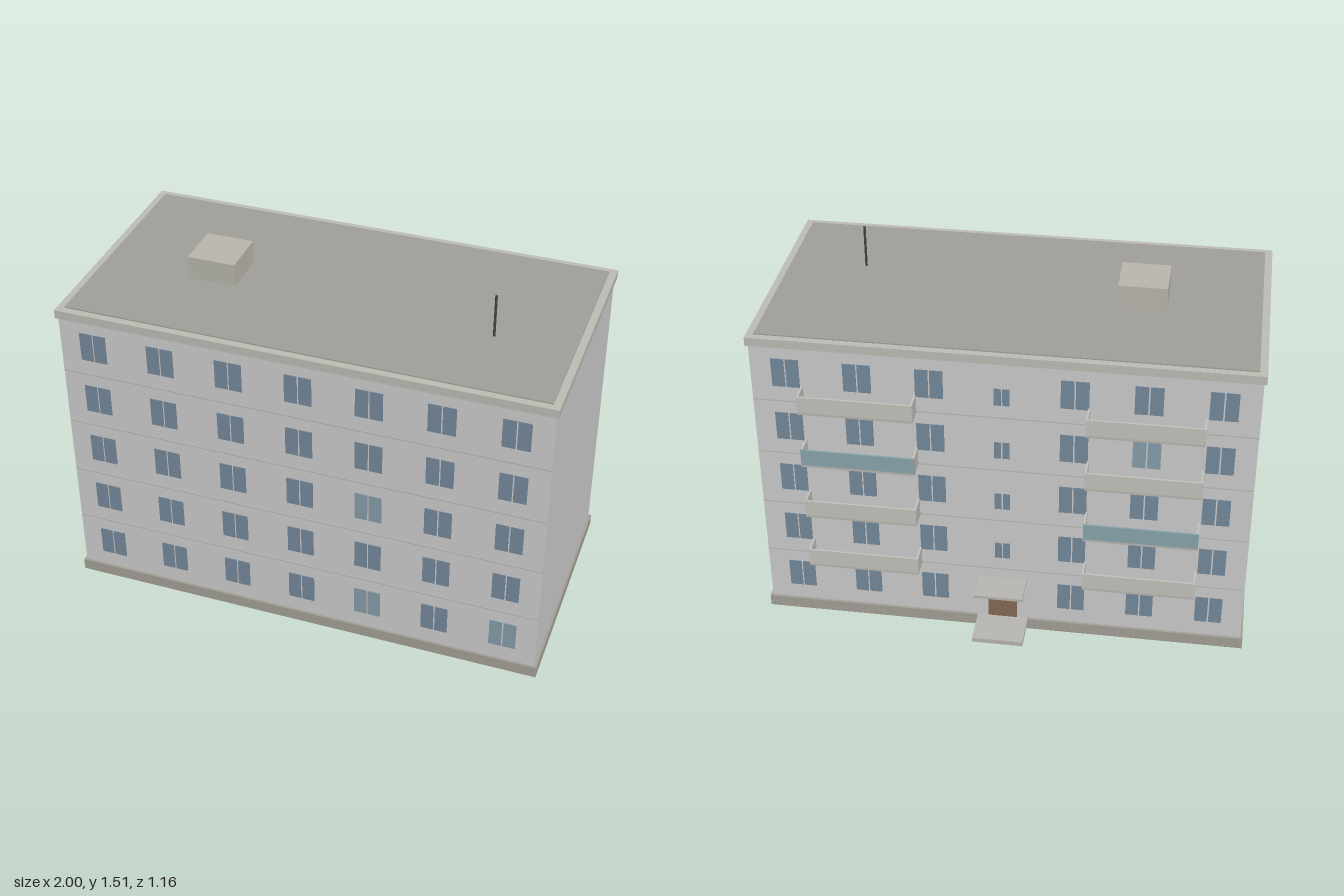
import * as THREE from 'three';

const mat = (color) => new THREE.MeshStandardMaterial({ color });
const M = {
  wall: mat(0xcccccc), base: mat(0xa3a097), cornice: mat(0xbdbcb4), roof: mat(0xa09f98),
  hut: mat(0xb8b6ac), glass: mat(0x74889a), paleGlass: mat(0x869daa), seam: mat(0xb8b8b6),
  rail: mat(0xc3c2bc), blueRail: mat(0x8aa5ad), slab: mat(0xb8b6b0), door: mat(0x846a55),
  mast: mat(0x444444),
};

// Box given by its min and max on each axis
function box(parent, name, material, [x0, x1], [y0, y1], [z0, z1]) {
  const mesh = new THREE.Mesh(new THREE.BoxGeometry(x1 - x0, y1 - y0, z1 - z0), material);
  mesh.position.set((x0 + x1) / 2, (y0 + y1) / 2, (z0 + z1) / 2);
  mesh.name = name;
  parent.add(mesh);
  return mesh;
}

// Two-pane window lying on a wall plane at z
function windowPair(parent, x, y, z, w, h, material) {
  const g = new THREE.Group();
  g.name = 'window';
  for (const s of [-1, 1]) {
    const a = x + s * 0.003, b = x + s * w / 2;
    box(g, 'pane', material, [Math.min(a, b), Math.max(a, b)], [y - h / 2, y + h / 2], [z - 0.003, z + 0.003]);
  }
  parent.add(g);
}

// Open-topped balcony on the back wall
function balcony(parent, x, y, railMaterial) {
  const g = new THREE.Group();
  g.name = 'balcony';
  const w = 0.2275, t = 0.008, zOut = -0.507, top = y + 0.08;
  box(g, 'balconyFloor', M.slab, [x - w, x + w], [y, y + 0.01], [zOut, BACK]);
  box(g, 'balconyFront', railMaterial, [x - w, x + w], [y + 0.01, top], [zOut, zOut + t]);
  for (const s of [-1, 1]) {
    const c = x + s * (w - t / 2);
    box(g, 'balconySide', M.rail, [c - t / 2, c + t / 2], [y + 0.01, top], [zOut + t, -0.424]);
  }
  parent.add(g);
}

const FRONT = 0.57, BACK = -0.42, FLOOR = 0.248;

export function createModel() {
  const model = new THREE.Group();
  model.name = 'apartmentBlock';

  // Main mass
  box(model, 'plinth', M.base, [-1, 1], [0, 0.05], [-0.43, 0.58]);
  box(model, 'walls', M.wall, [-0.99, 0.99], [0.05, 1.29], [BACK, FRONT]);
  box(model, 'cornice', M.cornice, [-1, 1], [1.29, 1.326], [-0.43, 0.58]);
  box(model, 'roof', M.roof, [-0.97, 0.97], [1.32, 1.331], [-0.4, 0.55]);

  // Rooftop hut and mast
  box(model, 'roofHut', M.hut, [-0.597, -0.4], [1.33, 1.428], [0, 0.197]);
  const mast = new THREE.Mesh(new THREE.CylinderGeometry(0.005, 0.005, 0.18, 8), M.mast);
  mast.position.set(0.656, 1.42, 0.2);
  mast.name = 'mast';
  model.add(mast);

  // Seams between storeys
  for (let i = 1; i < 5; i++) {
    const y = 0.052 + i * FLOOR;
    for (const z of [FRONT, BACK])
      box(model, 'storeySeam', M.seam, [-0.99, 0.99], [y - 0.003, y + 0.003], [z - 0.002, z + 0.002]);
  }

  // Windows; a few have paler glass (keyed by storey and column)
  const paleFront = ['0,4', '0,6', '2,4'], paleBack = ['3,1'];
  for (let f = 0; f < 5; f++) {
    for (let c = 0; c < 7; c++) {
      const x = (c - 3) * 0.2835, y = 0.182 + f * FLOOR, key = `${f},${c}`;
      windowPair(model, x, y, FRONT, 0.11, 0.125, paleFront.includes(key) ? M.paleGlass : M.glass);
      if (c !== 3)
        windowPair(model, x, y, BACK, 0.11, 0.125, paleBack.includes(key) ? M.paleGlass : M.glass);
      else if (f > 0) // small stairwell window
        windowPair(model, 0, 0.147 + f * FLOOR, BACK, 0.062, 0.075, M.glass);
    }
  }

  // Balconies on the upper storeys
  for (let f = 1; f < 5; f++) {
    const y = 0.05 + f * FLOOR;
    balcony(model, 0.563, y, f === 3 ? M.blueRail : M.rail);
    balcony(model, -0.563, y, f === 2 ? M.blueRail : M.rail);
  }

  // Entrance
  box(model, 'door', M.door, [-0.06, 0.06], [0.05, 0.22], [BACK - 0.004, BACK]);
  box(model, 'canopy', M.slab, [-0.1, 0.1], [0.24, 0.252], [-0.55, BACK]);
  box(model, 'step', M.slab, [-0.105, 0.105], [0.03, 0.05], [-0.58, BACK]);

  return model;
}
